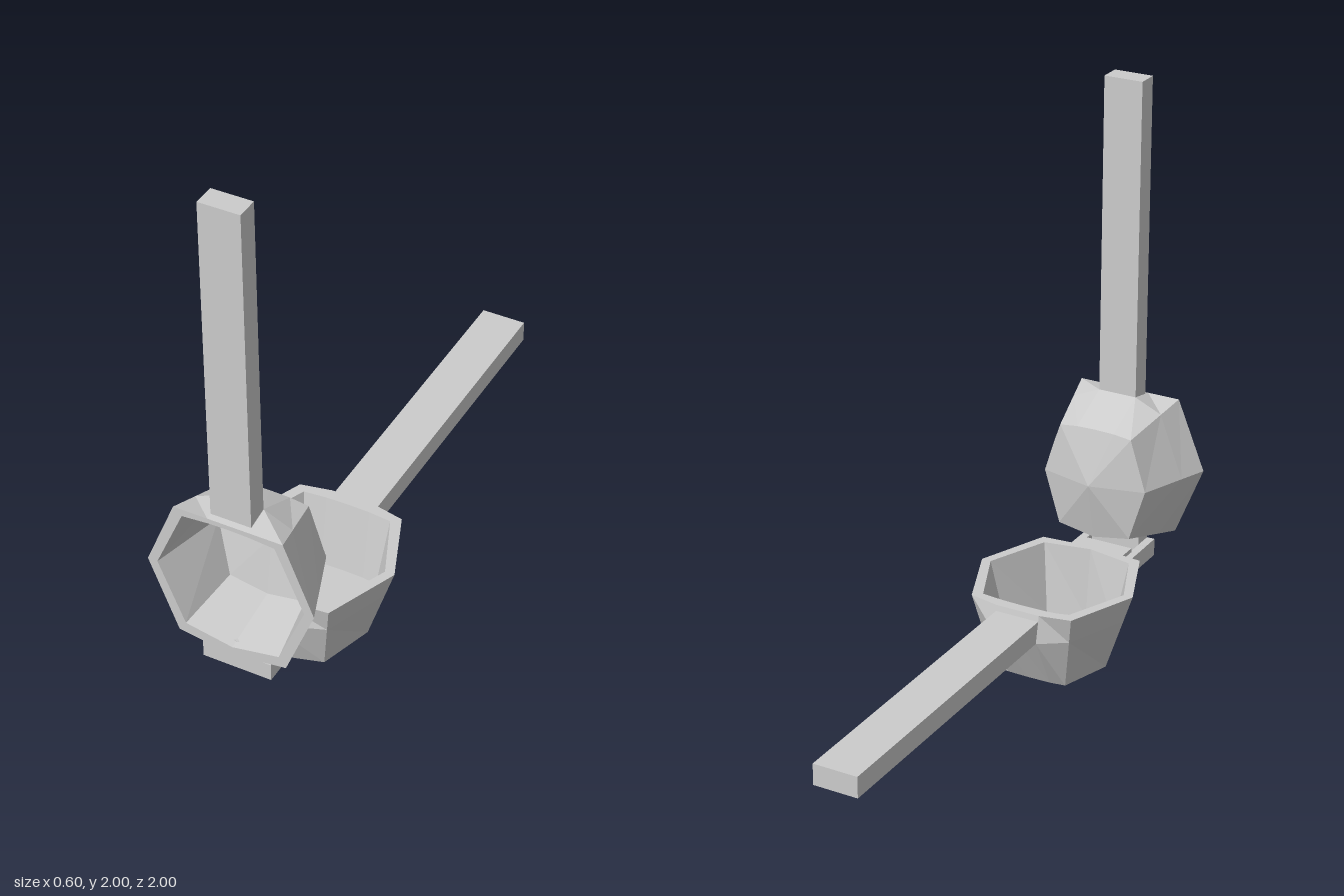
import * as THREE from 'three';

const grey = new THREE.MeshStandardMaterial({ color: 0xcccccc, flatShading: true });

function box(name, x, y, z, [cx, cy, cz]) {
  const m = new THREE.Mesh(new THREE.BoxGeometry(x, y, z), grey);
  m.name = name;
  m.position.set(cx, cy, cz);
  return m;
}

// closed ring from half of its outline, each point [x, y, depth]
function ring(half, depth) {
  const right = half.map(([x, y, d = depth]) => new THREE.Vector3(x, y, -d));
  const left = right.slice(1, -1).reverse().map(p => new THREE.Vector3(-p.x, p.y, p.z));
  return [...right, ...left];
}

// skin a sequence of rings, dropping collapsed triangles
function loft(rings) {
  const out = [];
  const tri = (a, b, c) => {
    if (a.distanceTo(b) > 1e-6 && b.distanceTo(c) > 1e-6 && c.distanceTo(a) > 1e-6)
      [a, b, c].forEach(p => out.push(p.x, p.y, p.z));
  };
  for (let i = 0; i < rings.length - 1; i++) {
    const p = rings[i], q = rings[i + 1], n = p.length;
    for (let j = 0; j < n; j++) {
      const k = (j + 1) % n;
      tri(p[j], p[k], q[j]);
      tri(p[k], q[k], q[j]);
    }
  }
  const g = new THREE.BufferGeometry();
  g.setAttribute('position', new THREE.Float32BufferAttribute(out, 3));
  g.computeVertexNormals();
  return g;
}

// one cup with its handle: rim at z = 0 opening to +z, handle along +y
function scoop(name, o) {
  const g = new THREE.Group();
  g.name = name;
  const w = o.handleWidth / 2;
  const rim = [[0, o.top], [w, o.top], [0.195, 0.257], [0.3, 0], [0.195, -0.262], [0, o.bottom]];
  const floor = [[0, 0.2], [w, 0.198], [0.14, 0.19], [0.2, 0], [0.14, -0.195], [0, o.floorBottom]];
  const innerRim = [[0, 0.24], [w, 0.238], [0.165, 0.23], [0.265, 0], [0.17, -0.225], [0, -0.257]];
  const innerFloor = floor.map(([x, y], i) =>
    [x * 0.99, y * 0.97, i === 3 ? o.innerCentre : o.innerDepth]);
  // band below the rim, pushed out where the handle and the hinge join
  const t = 0.1 / o.depth;
  const band = rim.map(([x, y], i) => [
    THREE.MathUtils.lerp(x, floor[i][0], t),
    i < 2 ? o.top + 0.02 : i === 5 ? o.bandBottom : THREE.MathUtils.lerp(y, floor[i][1], t),
  ]);
  const point = d => ring(floor.map(() => [0, 0]), d);
  const cup = new THREE.Mesh(loft([
    point(o.innerCentre), ring(innerFloor), ring(innerRim, 0),
    ring(rim, 0), ring(band, 0.1), ring(floor, o.depth), point(o.centre),
  ]), grey);
  cup.name = name + 'Cup';
  const start = o.top - 0.01;
  g.add(cup, box(name + 'Handle', o.handleWidth, o.end - start, 0.078,
    [0, (o.end + start) / 2, -0.06]));
  return g;
}

export function createModel() {
  const model = new THREE.Group();
  model.name = 'scoopTongs';

  // upright scoop, facing forward, with a slightly pointed back
  const upper = scoop('upperScoop', {
    handleWidth: 0.145, top: 0.257, bottom: -0.29, bandBottom: -0.28, floorBottom: -0.22,
    depth: 0.265, centre: 0.315, innerDepth: 0.23, innerCentre: 0.27, end: 1.44,
  });
  upper.position.set(0, 0.56, 1);

  // lying scoop, opening upward, with a flat base
  const lower = scoop('lowerScoop', {
    handleWidth: 0.165, top: 0.28, bottom: -0.28, bandBottom: -0.305, floorBottom: -0.235,
    depth: 0.3, centre: 0.3, innerDepth: 0.26, innerCentre: 0.26, end: 1.455,
  });
  lower.rotation.x = -Math.PI / 2;
  lower.position.set(0, 0.3, 0.455);

  // hinge: tab under the upper cup, U-shaped yoke, pivot block on the lower cup
  const hinge = new THREE.Group();
  hinge.name = 'hinge';
  hinge.add(
    box('upperTab', 0.19, 0.06, 0.07, [0, 0.28, 0.94]),
    box('yokeBar', 0.25, 0.065, 0.07, [0, 0.225, 0.94]),
    box('pivotBlock', 0.2, 0.115, 0.085, [0, 0.215, 0.797]),
  );
  // yoke arms with pointed ends
  const arm = new THREE.Shape([[0.94, 0.193], [0.78, 0.193], [0.765, 0.225], [0.78, 0.257], [0.94, 0.257]]
    .map(([z, y]) => new THREE.Vector2(-z, y)));
  for (const x of [0.095, -0.125]) {
    const m = new THREE.Mesh(new THREE.ExtrudeGeometry(arm, { depth: 0.03, bevelEnabled: false }), grey);
    m.name = x > 0 ? 'leftYokeArm' : 'rightYokeArm';
    m.rotation.y = Math.PI / 2;
    m.position.x = x;
    hinge.add(m);
  }

  model.add(upper, lower, hinge);
  return model;
}
